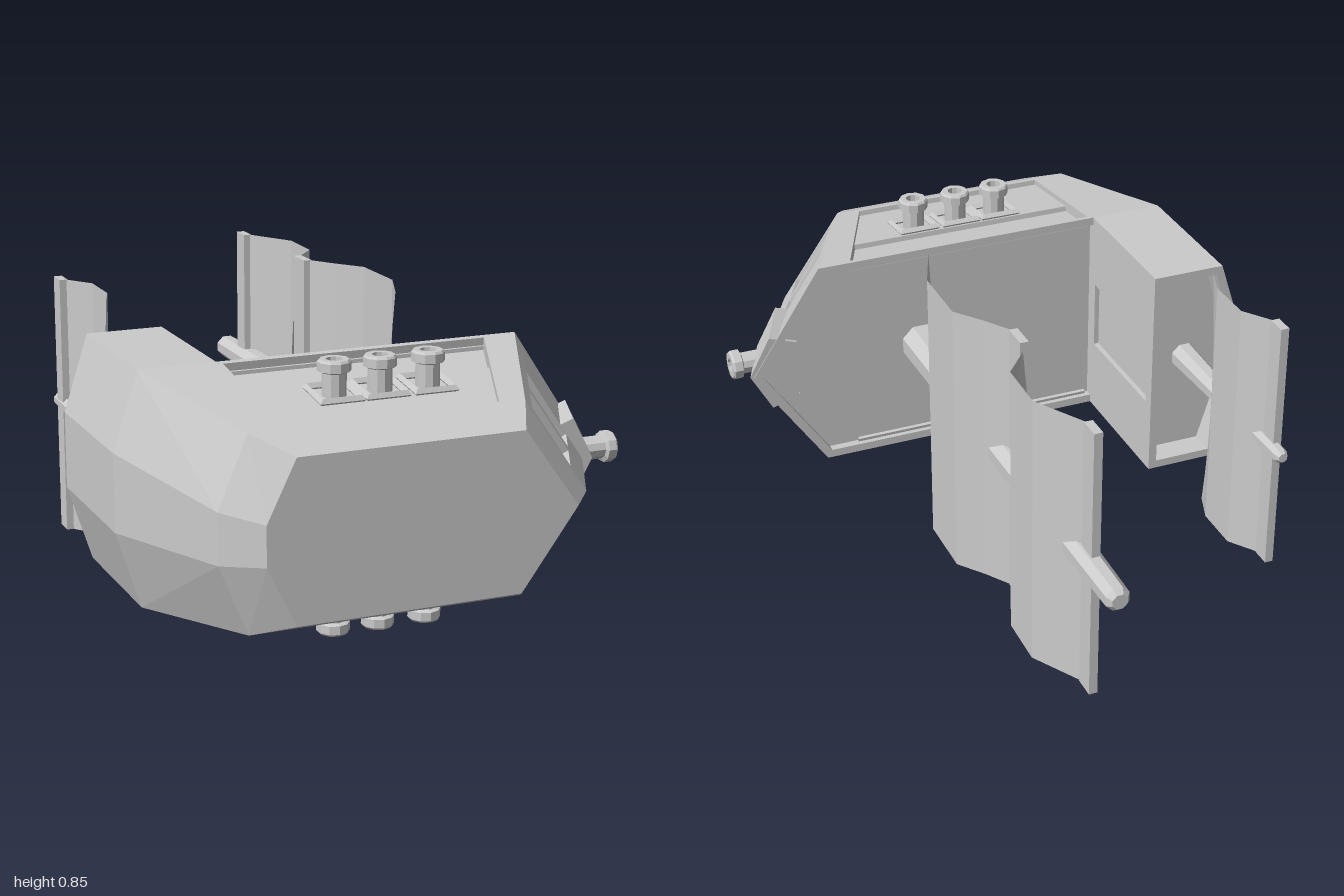
import * as THREE from 'three';

const V = (x, y, z) => new THREE.Vector3(x, y, z);
const material = new THREE.MeshStandardMaterial({ color: 0xcccccc, flatShading: true, side: THREE.DoubleSide });

// Collects flat quads; mirrored ones are repeated across the y = 0 plane
class Surface {
  constructor() { this.pts = []; }
  quad(a, b, c, d, mirror = true) {
    this.pts.push(a, b, c, a, c, d);
    if (mirror) {
      const [e, f, g, h] = [a, b, c, d].map(p => V(p.x, -p.y, p.z));
      this.pts.push(e, g, f, e, h, g);
    }
  }
  // Quad cut into cells at us and vs, each cell sunk by depths[row][column]
  panels(a, b, c, d, us, vs, depths, mirror = true) {
    const n = b.clone().sub(a).cross(d.clone().sub(a)).normalize();
    const at = (u, v, depth) => a.clone().lerp(b, u).lerp(d.clone().lerp(c, u), v).addScaledVector(n, -depth);
    for (let j = 0; j < vs.length - 1; j++) for (let i = 0; i < us.length - 1; i++) {
      const [u0, u1, v0, v1] = [us[i], us[i + 1], vs[j], vs[j + 1]], k = depths[j][i];
      this.quad(at(u0, v0, k), at(u1, v0, k), at(u1, v1, k), at(u0, v1, k), mirror);
      const right = depths[j][i + 1] ?? 0, up = depths[j + 1]?.[i] ?? 0;
      if (right !== k) this.quad(at(u1, v0, k), at(u1, v0, right), at(u1, v1, right), at(u1, v1, k), mirror);
      if (up !== k) this.quad(at(u0, v1, k), at(u0, v1, up), at(u1, v1, up), at(u1, v1, k), mirror);
    }
  }
  // Flat half outline closed towards the centre line
  cap(loop) {
    for (let j = 0; j < loop.length - 1; j++) {
      const [p, q] = [loop[j], loop[j + 1]];
      this.quad(p, q, V(q.x, 0, q.z), V(p.x, 0, p.z));
    }
  }
  // Rim between two outlines with a sunken floor inside
  recess(outer, inner, depth) {
    const floor = inner.map(p => V(p.x, p.y, p.z + depth));
    for (let j = 0; j < outer.length - 1; j++) {
      this.quad(outer[j], outer[j + 1], inner[j + 1], inner[j]);
      this.quad(inner[j], inner[j + 1], floor[j + 1], floor[j]);
    }
    this.cap(floor);
  }
  mesh(name) {
    const g = new THREE.BufferGeometry().setFromPoints(this.pts);
    g.computeVertexNormals();
    return named(new THREE.Mesh(g, material), name);
  }
}

function named(object, name) { object.name = name; return object; }
function part(parent, name, geometry, x = 0, y = 0, z = 0) {
  const m = named(new THREE.Mesh(geometry, material), name);
  m.position.set(x, y, z);
  parent.add(m);
  return m;
}
const outline = (z, xy) => xy.map(([x, y]) => V(x, y, z));

function makeHull() {
  const s = new Surface();
  // Half outlines from stern to bow: keel, bilge, deck edge
  const levels = [
    outline(1, [[-0.51, 0], [-0.51, 0.055], [-0.43, 0.22], [-0.43, 0.22], [0.2, 0.22], [0.36, 0]]),
    outline(0.9, [[-0.6, 0], [-0.6, 0.07], [-0.52, 0.265], [-0.43, 0.265], [0.25, 0.265], [0.44, 0]]),
    outline(0.44, [[-0.72, 0], [-0.72, 0.11], [-0.65, 0.33], [-0.43, 0.33], [0.46, 0.33], [0.68, 0]]),
  ];
  s.cap(levels[0]);
  for (let i = 0; i < 2; i++) for (let j = 0; j < 5; j++) {
    const [a, b, c, d] = [levels[i][j], levels[i][j + 1], levels[i + 1][j + 1], levels[i + 1][j]];
    if (i && j === 3) // gun deck panel and the band above it
      s.panels(a, b, c, d, [0, 0.015, 0.89, 1], [0, 0.04, 0.59, 0.96, 1],
        [[0, 0, 0], [0, 0.016, 0], [0, 0.032, 0], [0, 0, 0]]);
    else if (i && j === 4) // bow panels
      s.panels(a, b, c, d, [0, 0.12, 0.74, 1], [0, 0.04, 0.29, 0.35, 0.57, 1],
        [[0, 0, 0], [0, 0.018, 0], [0, 0, 0], [0, 0.018, 0], [0, 0, 0]]);
    else s.quad(a, b, c, d);
  }
  // Sunken deck
  s.recess(levels[2].slice(3), outline(0.44, [[-0.43, 0.305], [0.445, 0.305], [0.65, 0]]), 0.025);
  return s.mesh('hull');
}

function makeSternCastle() {
  const s = new Surface();
  const xy = [[-0.72, 0], [-0.72, 0.11], [-0.65, 0.33], [-0.43, 0.33], [-0.43, 0]];
  const low = outline(0.44, xy), top = outline(0, xy);
  for (let j = 0; j < 3; j++) s.quad(low[j], low[j + 1], top[j + 1], top[j]);
  // Wall towards the deck, with a framed panel
  s.panels(V(-0.43, 0.33, 0.465), V(-0.43, -0.33, 0.465), V(-0.43, -0.33, 0), V(-0.43, 0.33, 0),
    [0, 0.34, 0.66, 1], [0, 0.1, 0.92, 1], [[0, 0, 0], [0, 0.015, 0], [0, 0, 0]], false);
  s.recess(top, outline(0, [[-0.695, 0], [-0.695, 0.1], [-0.632, 0.305], [-0.455, 0.305], [-0.455, 0]]), 0.08);
  return s.mesh('sternCastle');
}

// Hollow barrel along +y, from 0 to length
function cannonGeometry(length) {
  const profile = [[0.033, 0], [0.033, length - 0.035], [0.045, length - 0.03], [0.045, length - 0.006],
    [0.04, length], [0.022, length], [0.022, length - 0.05], [0, length - 0.05]];
  return new THREE.LatheGeometry(profile.map(([x, y]) => new THREE.Vector2(x, y)), 10);
}

function makeSideGuns(side) {
  const guns = named(new THREE.Group(), side > 0 ? 'upperSideGuns' : 'lowerSideGuns');
  for (const x of [-0.2, -0.07, 0.068]) {
    const frame = new THREE.TorusGeometry(0.078, 0.012, 4, 4).rotateZ(Math.PI / 4).rotateX(Math.PI / 2 + 0.14);
    part(guns, 'gunPort', frame, x, 0.283, 0.695);
    part(guns, 'cannon', cannonGeometry(0.12), x, 0.255, 0.695);
  }
  if (side < 0) guns.rotation.x = Math.PI;
  if (side < 0) guns.position.z = 1.39;
  return guns;
}

function makeBowGun() {
  const gun = named(new THREE.Group(), 'bowGun');
  // Wedge mount following the rake of the stem
  const s = new Surface();
  const level = (z, dx) => outline(z, [[0.535 + dx, 0.09], [0.62 + dx, 0.12], [0.685 + dx, 0]]);
  const low = level(0.635, -0.075), high = level(0.455, 0);
  for (let j = 0; j < 2; j++) s.quad(low[j], low[j + 1], high[j + 1], high[j]);
  s.cap(low);
  s.cap(high);
  gun.add(s.mesh('gunMount'));
  part(gun, 'cannon', cannonGeometry(0.16).rotateZ(-Math.PI / 2), 0.56, 0, 0.55);
  return gun;
}

// Tapered pole pointing to -z with a chamfered tip
function makeMast(name, x, z0, z1, r0, r1) {
  const len = z0 - z1;
  const profile = [[0, 0], [r0, 0], [r1, len - 0.015], [r1 * 0.65, len], [0, len]];
  const g = new THREE.LatheGeometry(profile.map(p => new THREE.Vector2(...p)), 8);
  return part(new THREE.Group(), name, g.rotateY(Math.PI / 8).rotateX(-Math.PI / 2), x, 0, z0);
}

// Billowed sheet through an xz section, with its free edge arched, plus its yard
function makeSail(name, section, half, arch, yardDepth) {
  const sail = named(new THREE.Group(), name), s = new Surface(), n = 4;
  const at = (i, k) => {
    const t = k / n, last = i === section.length - 1;
    return V(section[i][0], half * t, section[i][1] - (last ? arch * (1 - t * t) : 0));
  };
  for (let i = 0; i < section.length - 1; i++) for (let k = 0; k < n; k++)
    s.quad(at(i, k), at(i + 1, k), at(i + 1, k + 1), at(i, k + 1));
  sail.add(s.mesh('cloth'));
  const [x, z] = section[0];
  part(sail, 'yard', new THREE.BoxGeometry(0.025, half * 2, yardDepth), x - 0.002, 0, z - yardDepth / 2 + 0.01);
  return sail;
}

export function createModel() {
  const model = named(new THREE.Group(), 'sailingShip');
  const ship = named(new THREE.Group(), 'ship');
  ship.position.y = 0.425;
  model.add(ship);

  ship.add(makeHull(), makeSternCastle(), makeSideGuns(1), makeSideGuns(-1), makeBowGun());

  // Main mast with two sails, stern mast with one
  ship.add(
    makeMast('mainMast', 0.137, 0.47, -1, 0.062, 0.036),
    makeMast('sternMast', -0.575, 0.08, -0.555, 0.042, 0.022),
    makeSail('mainSail', [[0.135, -0.285], [0.19, -0.2], [0.25, -0.12], [0.25, 0.08], [0.19, 0.23]], 0.425, 0.04, 0.08),
    makeSail('topSail', [[0.135, -0.785], [0.225, -0.63], [0.222, -0.47], [0.15, -0.385]], 0.415, 0.06, 0.065),
    makeSail('sternSail', [[-0.58, -0.455], [-0.518, -0.365], [-0.518, -0.22], [-0.55, -0.13]], 0.39, 0.03, 0.06),
  );
  return model;
}
